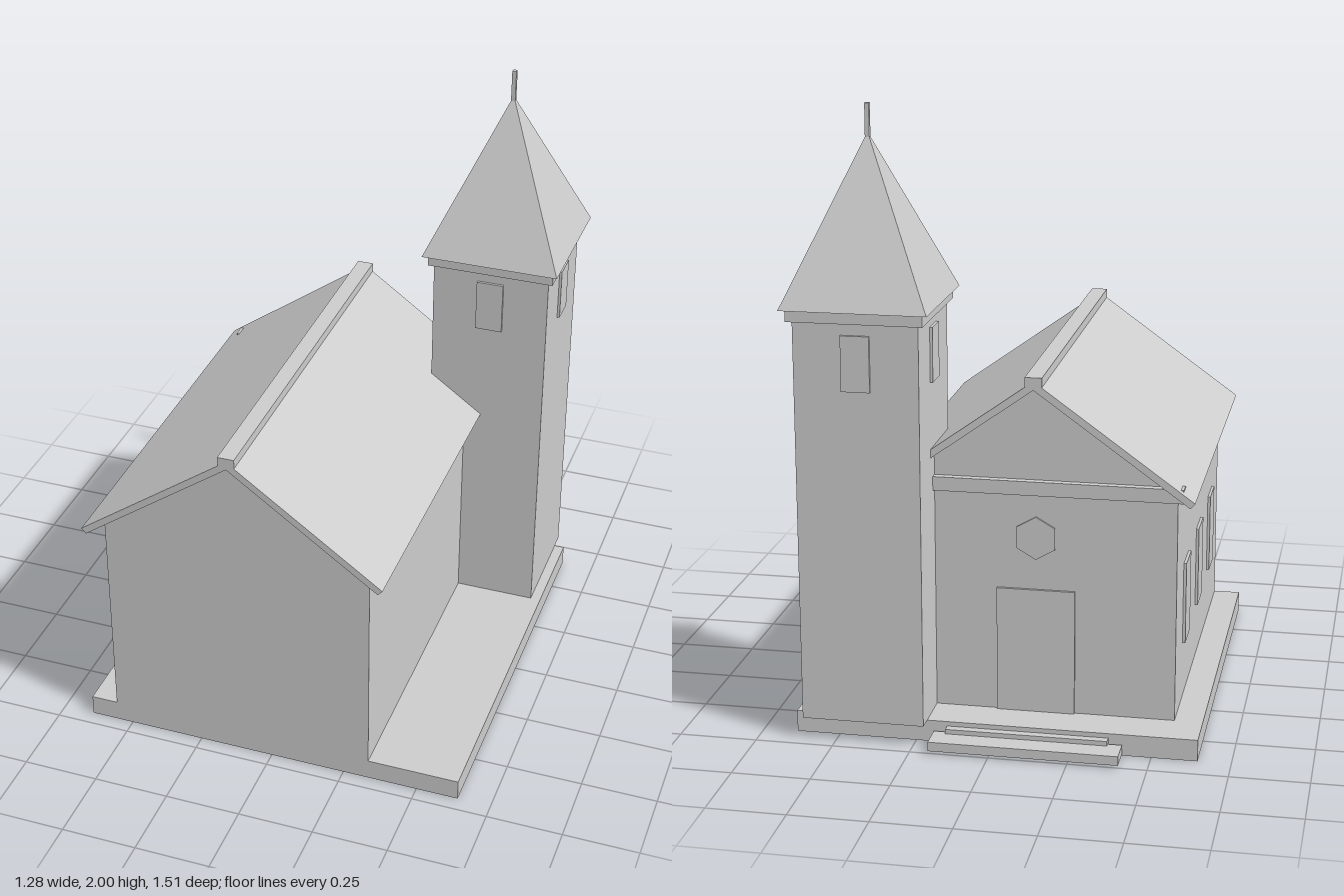
import * as THREE from 'three';

export function createModel() {
  const model = new THREE.Group();
  const stone = new THREE.MeshStandardMaterial({ color: 0xcccccc });
  stone.name = 'plainGrey';

  const add = (name, geometry) => {
    const mesh = new THREE.Mesh(geometry, stone);
    mesh.name = name;
    model.add(mesh);
    return mesh;
  };
  // Box given by its limits on each axis
  const box = (name, x0, x1, y0, y1, z0, z1) => {
    const mesh = add(name, new THREE.BoxGeometry(x1 - x0, y1 - y0, z1 - z0));
    mesh.position.set((x0 + x1) / 2, (y0 + y1) / 2, (z0 + z1) / 2);
    return mesh;
  };
  // Outline in x and y, extruded from z0 to z1
  const prism = (name, points, z0, z1) => {
    const shape = new THREE.Shape(points.map(([x, y]) => new THREE.Vector2(x, y)));
    const geometry = new THREE.ExtrudeGeometry(shape, { depth: z1 - z0, bevelEnabled: false });
    add(name, geometry.translate(0, 0, z0));
  };

  // Base and entrance steps
  box('base', -0.645, 0.64, 0, 0.07, -0.655, 0.7);
  box('lowerStep', -0.41, 0.19, 0.01, 0.04, -0.755, -0.667);
  box('upperStep', -0.365, 0.15, 0.022, 0.055, -0.682, -0.655);

  // Nave with gable ends
  const cx = -0.11;
  prism('nave', [[-0.555, 0.07], [0.335, 0.07], [0.335, 0.82], [cx, 1.14], [-0.555, 0.82]], -0.515, 0.7);

  // Gabled roof and ridge cap
  prism('roof', [
    [cx - 0.503, 0.806], [cx - 0.488, 0.789], [cx, 1.14],
    [cx + 0.488, 0.789], [cx + 0.503, 0.806], [cx, 1.168],
  ], -0.565, 0.75);
  box('ridgeCap', -0.137, -0.083, 1.15, 1.18, -0.565, 0.75);

  // Entrance end: gable beam, door and six-sided window
  box('gableBeam', -0.575, 0.355, 0.795, 0.84, -0.54, -0.495);
  box('door', -0.235, 0.015, 0.07, 0.48, -0.524, -0.515);
  const roseWindow = add('roseWindow', new THREE.CylinderGeometry(0.07, 0.07, 0.008, 6).rotateX(Math.PI / 2));
  roseWindow.position.set(cx, 0.65, -0.518);

  // Side windows
  for (const z of [-0.265, 0.0925, 0.45]) {
    box('naveWindow', -0.564, -0.555, 0.26, 0.53, z - 0.065, z + 0.065);
  }

  // Tower, cornice, spire and finial
  const tx = 0.41, tz = -0.512;
  const square = (name, half, y0, y1) => box(name, tx - half, tx + half, y0, y1, tz - half, tz + half);
  square('tower', 0.196, 0.07, 1.36);
  square('cornice', 0.213, 1.36, 1.397);
  const spireGeometry = new THREE.ConeGeometry(0.23 * Math.SQRT2, 0.515, 4, 1).rotateY(Math.PI / 4).toNonIndexed();
  spireGeometry.computeVertexNormals();
  const spire = add('spire', spireGeometry);
  spire.position.set(tx, 1.397 + 0.2575, tz);
  square('finial', 0.007, 1.88, 2);

  // Belfry window on each tower face
  for (let i = 0; i < 4; i++) {
    const geometry = new THREE.BoxGeometry(0.09, 0.175, 0.009);
    geometry.translate(0, 0, 0.2).rotateY(i * Math.PI / 2);
    add('belfryWindow', geometry).position.set(tx, 1.235, tz);
  }

  return model;
}
